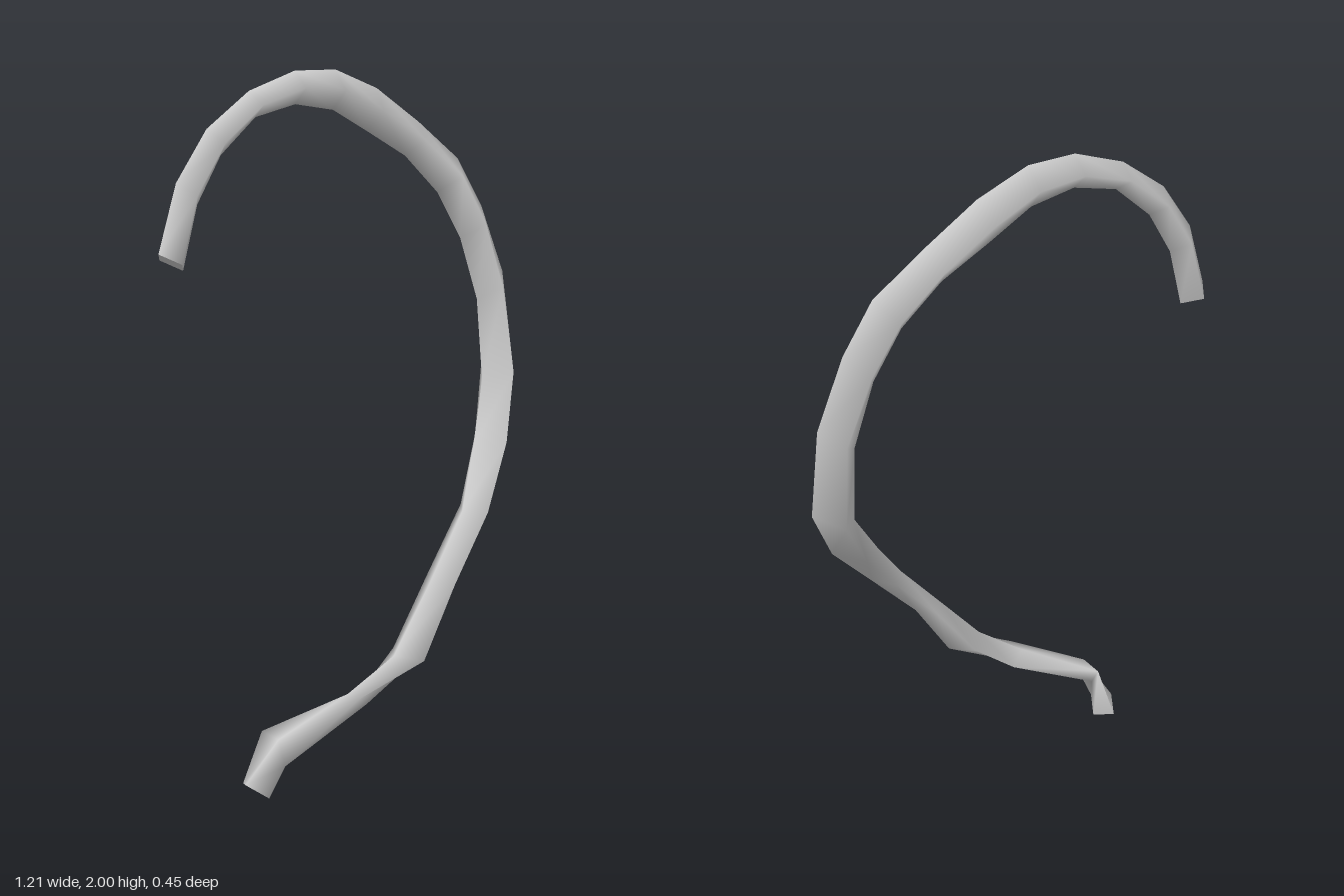
import * as THREE from 'three';

// Diamond cross-sections along the hook, from the upper tip to the lower tip:
// outer x, outer y, inner x, inner y, back z, front z, optional twist
const sections = [
  [-0.60, 1.54, -0.525, 1.49, -0.205, -0.095],
  [-0.535, 1.72, -0.47, 1.66, -0.21, -0.105],
  [-0.43, 1.855, -0.386, 1.785, -0.22, -0.11],
  [-0.29, 1.95, -0.27, 1.88, -0.22, -0.112],
  [-0.137, 2.0, -0.137, 1.91, -0.215, -0.113],
  [0.01, 2.0, 0, 1.89, -0.222, -0.12],
  [0.165, 1.945, 0.13, 1.825, -0.23, -0.125],
  [0.317, 1.845, 0.265, 1.75, -0.228, -0.11],
  [0.45, 1.735, 0.37, 1.64, -0.215, -0.075],
  [0.525, 1.59, 0.44, 1.50, -0.185, -0.05],
  [0.595, 1.39, 0.49, 1.315, -0.153, -0.037],
  [0.605, 1.125, 0.48, 1.075, -0.127, 0.016],
  [0.508, 0.93, 0.365, 0.90, -0.037, 0.10],
  [0.345, 0.74, 0.25, 0.74, 0.053, 0.17],
  [0.185, 0.56, 0.10, 0.56, 0.08, 0.20],
  [0.06, 0.36, -0.05, 0.38, 0.09, 0.225],
  [-0.137, 0.25, -0.185, 0.285, 0.09, 0.165, 1],
  [-0.40, 0.125, -0.395, 0.19, -0.01, 0.105, -1],
  [-0.40, 0.0, -0.47, 0.055, -0.05, 0.075],
];

// Four corners of one section: outer, back, inner, front
function ring([ox, oy, ix, iy, zb, zf, twist = 0]) {
  const mx = (ox + ix) / 2, my = (oy + iy) / 2, mz = (zb + zf) / 2;
  const dx = twist * (ix - ox) / 2, dy = twist * (iy - oy) / 2;
  const dz = twist * 0.35 * (zf - zb) / 2;
  return [
    [ox, oy, mz + dz],
    [mx - dx, my - dy, zb],
    [ix, iy, mz - dz],
    [mx + dx, my + dy, zf],
  ];
}

function makeMesh(name, points, indices, material) {
  const geometry = new THREE.BufferGeometry();
  geometry.setAttribute('position', new THREE.Float32BufferAttribute(points.flat(), 3));
  geometry.setIndex(indices);
  geometry.computeVertexNormals();
  const mesh = new THREE.Mesh(geometry, material);
  mesh.name = name;
  return mesh;
}

export function createModel() {
  const group = new THREE.Group();
  group.name = 'curvedHook';
  const material = new THREE.MeshStandardMaterial({ color: 0xcccccc });
  const rings = sections.map(ring);

  // Smooth four-sided body
  const indices = [];
  for (let i = 0; i < rings.length - 1; i++) {
    for (let j = 0; j < 4; j++) {
      const a = i * 4 + j, b = i * 4 + (j + 1) % 4;
      indices.push(a, a + 4, b, b, a + 4, b + 4);
    }
  }
  group.add(makeMesh('hookBody', rings.flat(), indices, material));

  // Flat end caps
  group.add(makeMesh('upperEndCap', rings[0], [0, 1, 2, 0, 2, 3], material));
  group.add(makeMesh('lowerEndCap', rings[rings.length - 1], [0, 2, 1, 0, 3, 2], material));
  return group;
}
